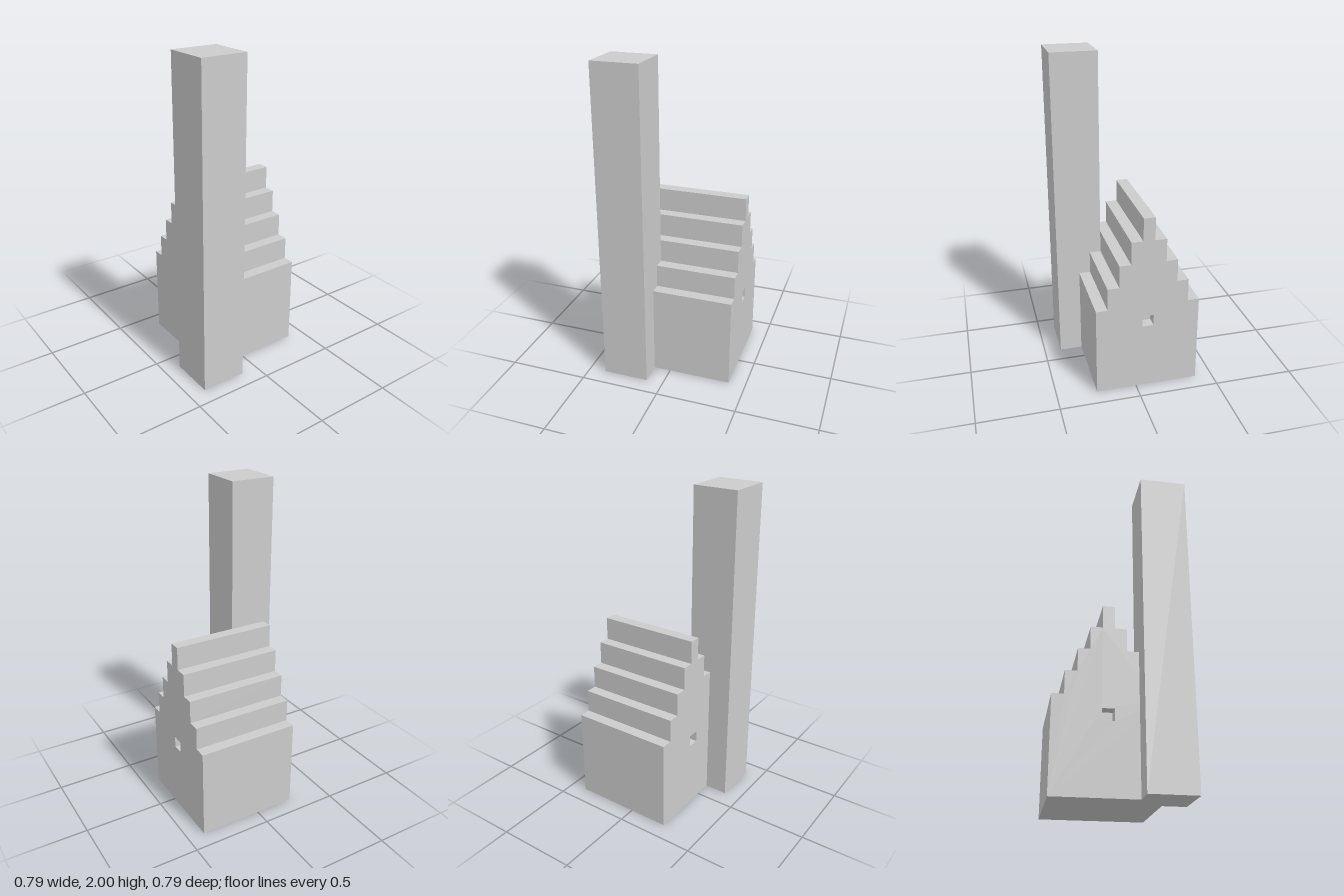
import * as THREE from 'three';

const U = 1 / 14; // building block size

export function createModel() {
  const model = new THREE.Group();
  model.name = 'house';
  const material = new THREE.MeshStandardMaterial({ color: 0xcccccc, flatShading: true });

  const add = (name, geometry, x, y, z) => {
    const mesh = new THREE.Mesh(geometry, material);
    mesh.name = name;
    mesh.position.set(x * U, y * U, z * U);
    model.add(mesh);
  };
  const box = (w, h, d) => new THREE.BoxGeometry(w * U, h * U, d * U);

  // Stepped gable outline, climbing one block in and two up per step
  const left = [[-4.5, 0]];
  for (let i = 0; i < 5; i++) {
    const x = i - 4.5, y = 8 + 2 * i;
    left.push([x, y], [x + 1, y]);
  }
  left.pop(); // the ridge is closed by its mirrored corner
  const right = left.map(([x, y]) => [-x, y]).reverse();
  const points = list => list.map(([x, y]) => new THREE.Vector2(x * U, y * U));
  const gable = new THREE.Shape(points([...left, ...right]));

  // Small square window in both gable ends
  gable.holes.push(new THREE.Path(points([[-0.5, 6], [0.5, 6], [0.5, 7], [-0.5, 7]])));
  add('steppedHouse', new THREE.ExtrudeGeometry(gable, { depth: 9 * U, bevelEnabled: false }), -1, 0, -5.5);

  // Core closing the window opening, leaving a one-block recess at each end
  add('windowBack', box(1, 1, 7), -1, 6.5, -1);

  // Tall corner chimney
  add('chimney', box(4, 28, 4), 3.5, 14, 3.5);

  return model;
}
